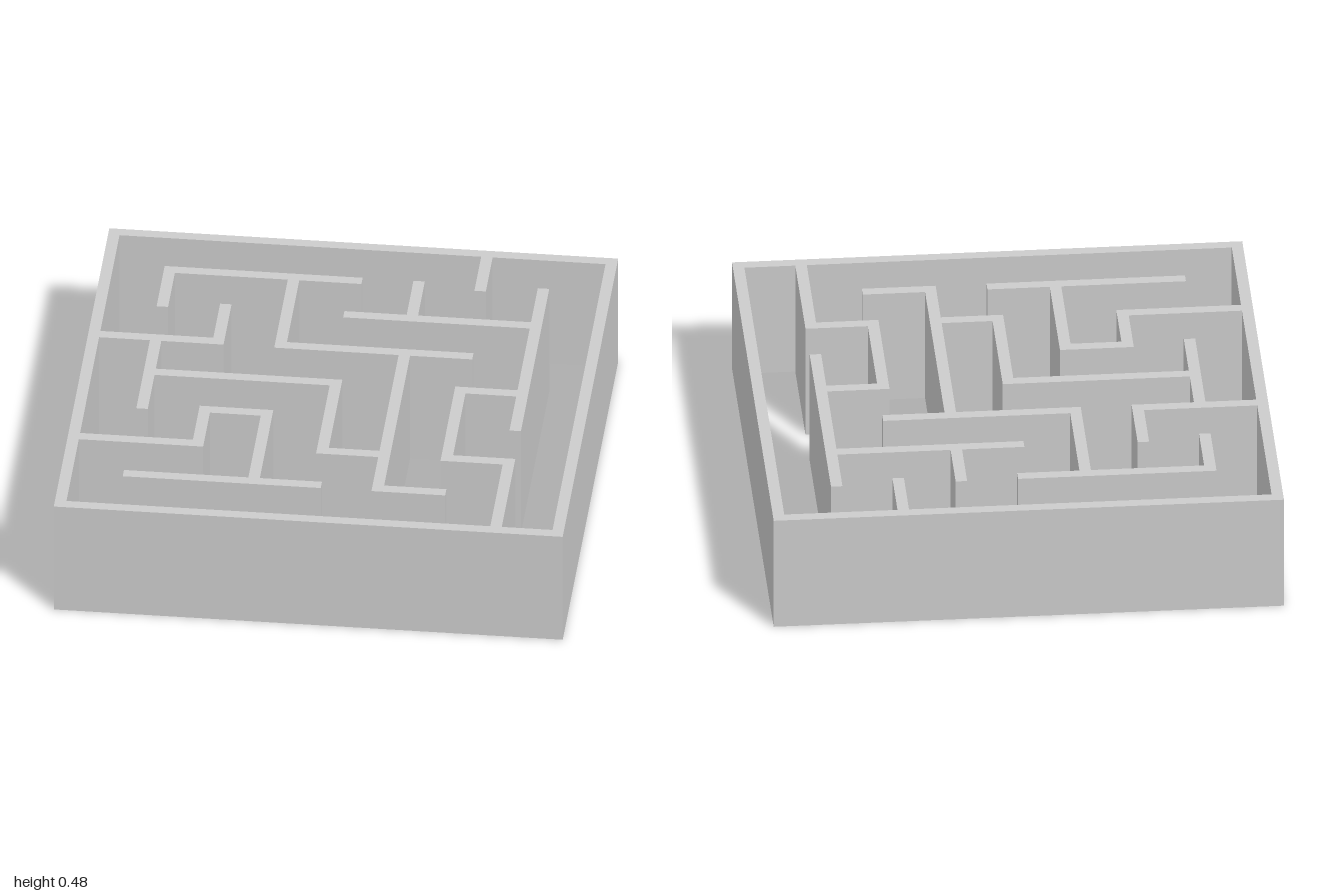
import * as THREE from 'three';

const CELLS = 8, THICK = 0.045, HEIGHT = 0.48;
const PITCH = (2 - THICK) / CELLS;
const at = (i) => -1 + THICK / 2 + i * PITCH;

// Wall runs on the cell grid: [line, from, to]
const alongX = [
  [0, 0, 8], [8, 0, 8],
  [1, 1, 4], [2, 4, 7], [3, 0, 2], [3, 3, 6], [4, 1, 4], [4, 6, 7],
  [5, 2, 3], [6, 0, 2], [6, 4, 5], [6, 6, 7], [7, 1, 4], [7, 5, 6],
];
const alongZ = [
  [0, 0, 8], [8, 0, 8],
  [1, 1, 2], [1, 3, 5], [2, 2, 3], [2, 5, 6], [3, 1, 3], [3, 5, 7],
  [4, 4, 6], [5, 1, 2], [5, 3, 7], [6, 0, 1], [6, 4, 6], [7, 1, 5], [7, 6, 8],
];

// Does a crossing run pass through the node (strictly inside it, or also at its ends)?
const meets = (runs, line, pos, withEnds) => runs.some(([l, a, b]) =>
  l === line && (withEnds ? pos >= a && pos <= b : pos > a && pos < b));

export function createModel() {
  const model = new THREE.Group();
  model.name = 'maze';
  const material = new THREE.MeshStandardMaterial({ color: 0xcccccc, flatShading: true });

  const addWalls = (runs, crossing, isX) => runs.forEach(([line, from, to]) => {
    // Run ends stop at the face of a crossing wall; x runs own the corners
    const reach = (end) => (meets(crossing, end, line, !isX) ? -THICK / 2 : THICK / 2);
    const start = at(from) - reach(from), stop = at(to) + reach(to);
    const length = stop - start, mid = (start + stop) / 2;
    const wall = new THREE.Mesh(
      new THREE.BoxGeometry(isX ? length : THICK, HEIGHT, isX ? THICK : length), material);
    wall.position.set(isX ? mid : at(line), HEIGHT / 2, isX ? at(line) : mid);
    wall.name = line % CELLS === 0 ? 'outerWall' : 'innerWall';
    model.add(wall);
  });

  addWalls(alongX, alongZ, true);
  addWalls(alongZ, alongX, false);
  return model;
}
